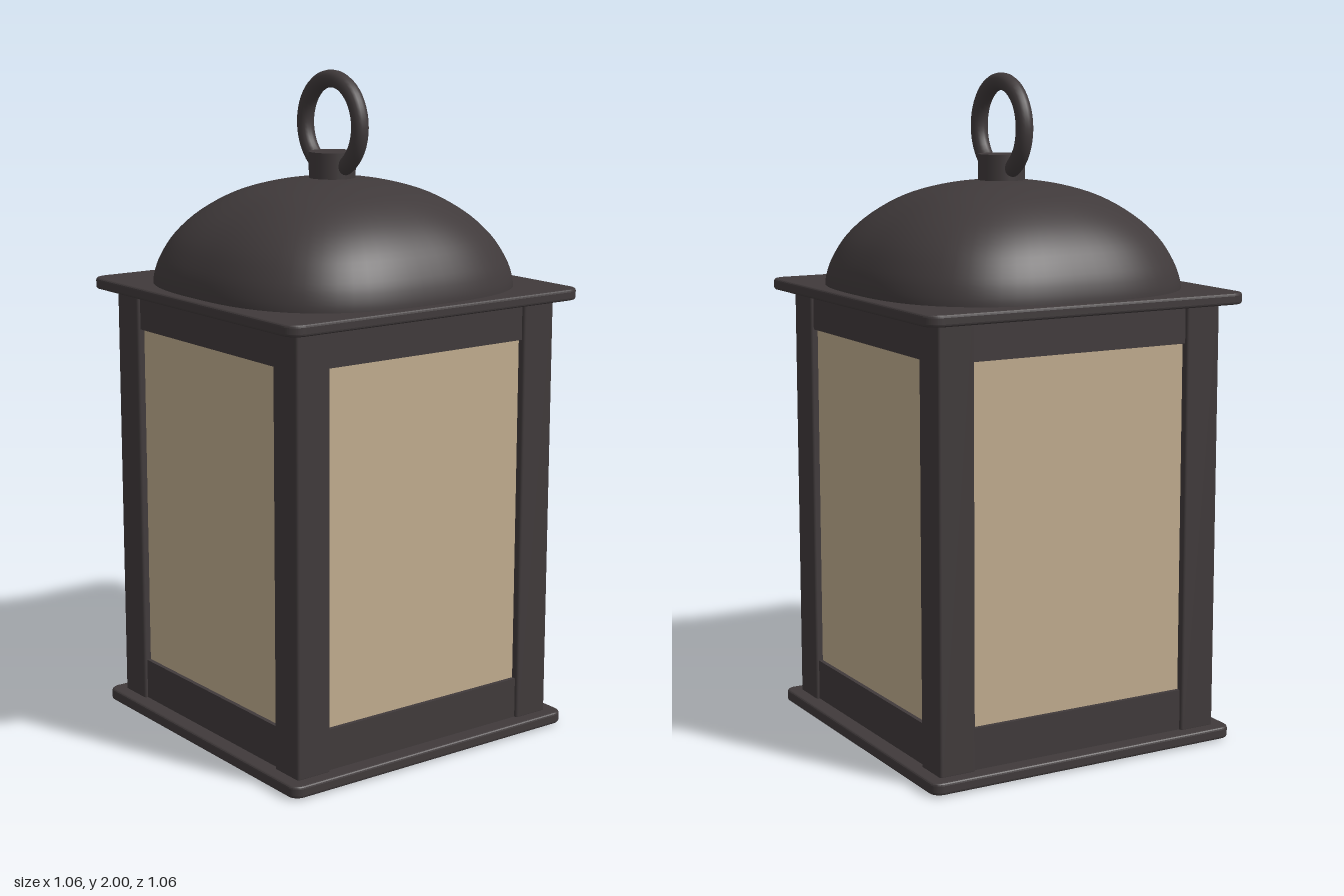
import * as THREE from 'three';
import { mergeVertices } from 'three/addons/utils/BufferGeometryUtils.js';
import { RoundedBoxGeometry } from 'three/addons/geometries/RoundedBoxGeometry.js';

const iron = new THREE.MeshStandardMaterial({ color: 0x403a3b });
iron.name = 'dark iron';
const glass = new THREE.MeshStandardMaterial({ color: 0xc0ac8e });
glass.name = 'frosted glass';

function add(parent, name, geometry, material, x = 0, y = 0, z = 0) {
  const mesh = new THREE.Mesh(geometry, material);
  mesh.name = name;
  mesh.position.set(x, y, z);
  parent.add(mesh);
  return mesh;
}

// Flat square plate with rounded corners and softened edges, standing on y = 0
function plate(half, height, radius) {
  const b = 0.008, h = half - b, r = radius - b;
  const s = new THREE.Shape();
  s.absarc(h - r, h - r, r, 0, Math.PI / 2);
  s.absarc(-h + r, h - r, r, Math.PI / 2, Math.PI);
  s.absarc(-h + r, -h + r, r, Math.PI, Math.PI * 1.5);
  s.absarc(h - r, -h + r, r, Math.PI * 1.5, Math.PI * 2);
  const g = new THREE.ExtrudeGeometry(s, {
    depth: height - 2 * b, bevelThickness: b, bevelSize: b, bevelSegments: 3, curveSegments: 8,
  });
  return g.translate(0, 0, b).rotateX(-Math.PI / 2);
}

// Dome that is a rounded square at the eave and turns circular at the crown
function domeGeometry() {
  const profile = new THREE.SplineCurve([
    [0.495, 1.35], [0.492, 1.39], [0.475, 1.445], [0.435, 1.515], [0.37, 1.58],
    [0.28, 1.635], [0.18, 1.667], [0.08, 1.682], [0, 1.685],
  ].map(([r, y]) => new THREE.Vector2(r, y))).getPoints(32);
  profile[32].x = 0;
  let g = new THREE.LatheGeometry(profile, 72);
  const p = g.attributes.position;
  for (let i = 0; i < p.count; i++) {
    const x = p.getX(i), z = p.getZ(i), r = Math.hypot(x, z);
    if (r < 1e-5) continue;
    const n = 2 + 0.75 * (r / 0.495);
    const k = Math.pow(Math.pow(Math.abs(x / r), n) + Math.pow(Math.abs(z / r), n), -1 / n);
    p.setX(i, x * k);
    p.setZ(i, z * k);
  }
  g.deleteAttribute('uv');
  g.deleteAttribute('normal');
  g = mergeVertices(g, 1e-5);
  g.computeVertexNormals();
  return g;
}

export function createModel() {
  const lantern = new THREE.Group();
  lantern.name = 'lantern';

  // Base and eave
  add(lantern, 'basePlate', plate(0.512, 0.036, 0.035), iron, 0, 0.005, 0).scale.y = 1;
  add(lantern, 'baseFoot', new THREE.BoxGeometry(0.98, 0.02, 0.98), iron, 0, 0.01, 0);
  add(lantern, 'eavePlate', plate(0.53, 0.034, 0.05), iron, 0, 1.333, 0);

  // Corner posts
  for (const x of [-1, 1]) for (const z of [-1, 1]) {
    add(lantern, 'cornerPost', new RoundedBoxGeometry(0.115, 1.31, 0.115, 2, 0.008), iron,
      x * 0.4125, 0.69, z * 0.4125);
  }

  // Four sides: rails above and below a recessed pane
  for (let i = 0; i < 4; i++) {
    const side = new THREE.Group();
    side.name = 'side';
    side.rotation.y = i * Math.PI / 2;
    lantern.add(side);
    add(side, 'bottomRail', new THREE.BoxGeometry(0.74, 0.13, 0.06), iron, 0, 0.1, 0.43);
    add(side, 'topRail', new THREE.BoxGeometry(0.74, 0.12, 0.06), iron, 0, 1.28, 0.43);
    add(side, 'pane', new THREE.BoxGeometry(0.72, 1.07, 0.02), glass, 0, 0.6925, 0.437);
  }

  // Roof, boss and hanging ring
  add(lantern, 'dome', domeGeometry(), iron);
  add(lantern, 'boss', new THREE.CylinderGeometry(0.07, 0.07, 0.11, 32), iron, 0, 1.705, 0);
  add(lantern, 'hangingRing', new THREE.TorusGeometry(0.135, 0.026, 16, 48), iron, 0, 1.839, 0)
    .rotation.y = Math.PI / 2;

  return lantern;
}
